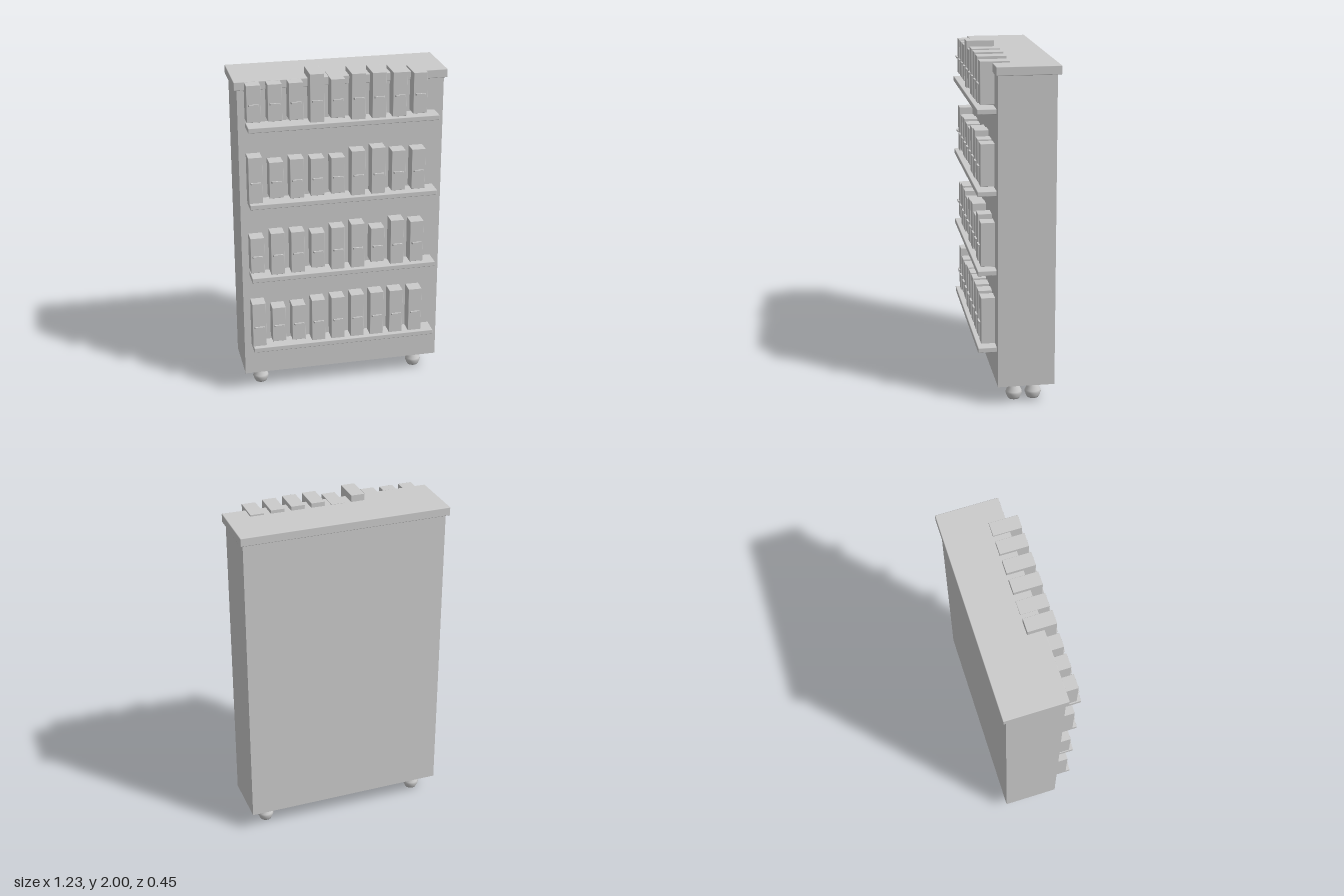
import * as THREE from 'three';
import { RoundedBoxGeometry } from 'three/addons/geometries/RoundedBoxGeometry.js';

const material = new THREE.MeshStandardMaterial({ color: 0xcccccc });

export function createModel() {
  const group = new THREE.Group();

  function add(name, geometry, x, y, z) {
    const mesh = new THREE.Mesh(geometry, material);
    mesh.name = name;
    mesh.position.set(x, y, z);
    group.add(mesh);
    return mesh;
  }

  // Solid case with a slightly overhanging top
  add('body', new THREE.BoxGeometry(1.194, 1.797, 0.327), 0, 1.0135, -0.0435);
  add('topBoard', new RoundedBoxGeometry(1.23, 0.05, 0.36, 1, 0.004), 0, 1.935, -0.048);

  // Turned feet, in close pairs at each end
  const footProfile = [
    [0, 0], [0.034, 0], [0.04, 0.012], [0.048, 0.034], [0.045, 0.046],
    [0.03, 0.08], [0.027, 0.092], [0.031, 0.102], [0.042, 0.112], [0.042, 0.118], [0, 0.118],
  ].map(([r, y]) => new THREE.Vector2(r, y));
  const footGeometry = new THREE.LatheGeometry(footProfile, 24);
  for (const x of [-0.488, 0.486]) {
    for (const z of [0.012, -0.1]) add('foot', footGeometry, x, 0, z);
  }

  // Small pull with slanted ends, lying across each spine
  const pullShape = new THREE.Shape([
    new THREE.Vector2(-0.031, 0), new THREE.Vector2(0.031, 0),
    new THREE.Vector2(0.026, -0.01), new THREE.Vector2(-0.026, -0.01),
  ]);
  const pullGeometry = new THREE.ExtrudeGeometry(pullShape, { depth: 0.01, bevelEnabled: false });
  pullGeometry.rotateX(-Math.PI / 2);

  // Each row: shelf height, centre of its books and the half height of each book
  const rows = [
    { shelf: 0.325, centre: 0.471, pull: 0.465,
      half: [0.148, 0.111, 0.114, 0.135, 0.14, 0.145, 0.148, 0.148, 0.145] },
    { shelf: 0.785, centre: 0.932, pull: 0.925,
      half: [0.11, 0.131, 0.129, 0.11, 0.134, 0.145, 0.108, 0.147, 0.129] },
    { shelf: 1.245, centre: 1.391, pull: 1.382,
      half: [0.145, 0.109, 0.119, 0.113, 0.109, 0.139, 0.149, 0.122, 0.122] },
    { shelf: 1.705, centre: 1.85, pull: 1.844,
      half: [0.107, 0.107, 0.108, 0.15, 0.113, 0.137, 0.135, 0.13, 0.12] },
  ];
  for (const row of rows) {
    add('shelf', new RoundedBoxGeometry(1.102, 0.03, 0.187, 1, 0.004), -0.004, row.shelf, 0.1335);
    row.half.forEach((half, i) => {
      const x = -0.516 + i * 0.1192;
      add('book', new RoundedBoxGeometry(0.081, half * 2, 0.165, 1, 0.002), x, row.centre, 0.1175);
      add('bookPull', pullGeometry, x, row.pull - 0.005, 0.203);
    });
  }

  return group;
}
